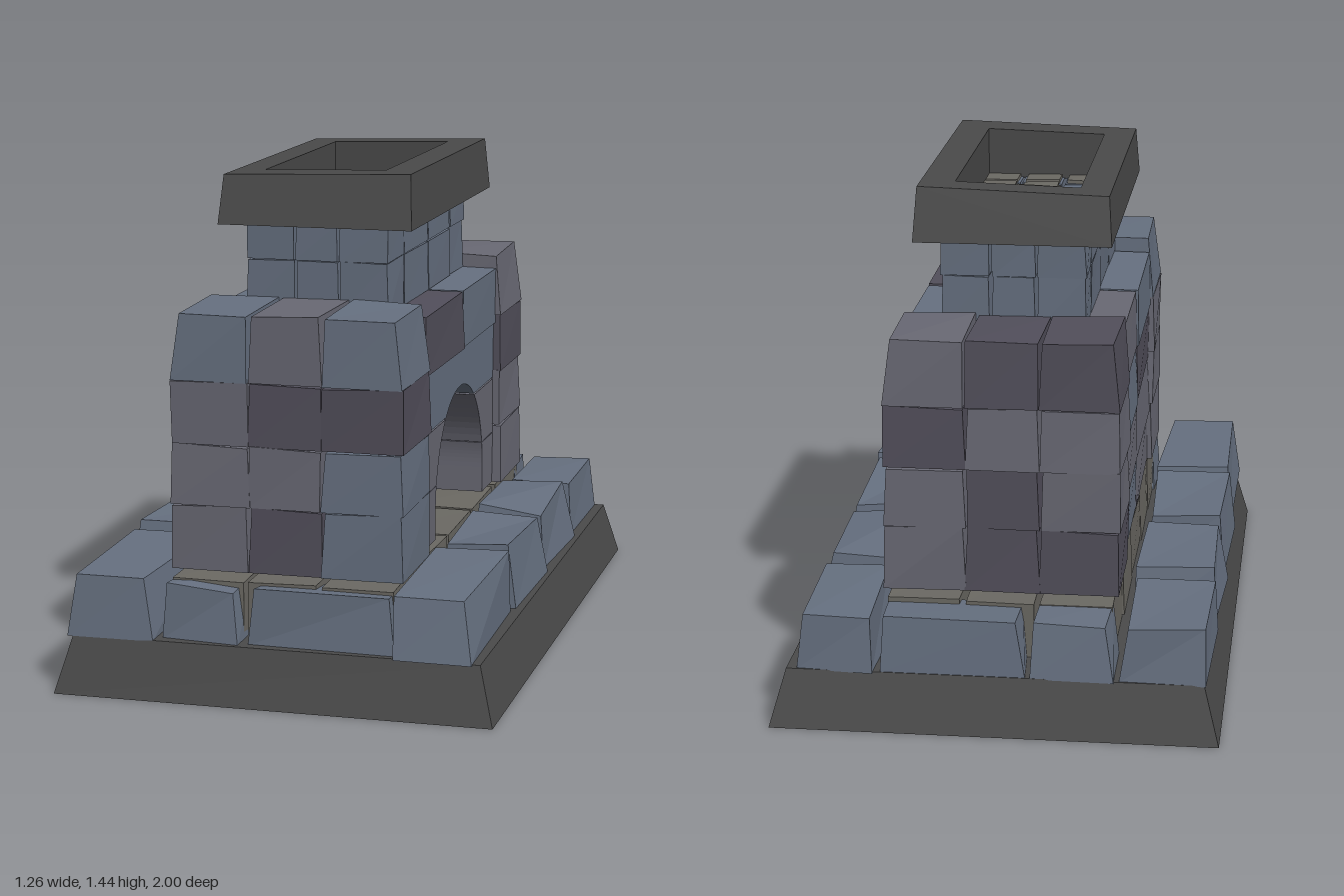
import * as THREE from 'three';

const mat = (color) => new THREE.MeshStandardMaterial({ color, flatShading: true, roughness: 0.9, side: THREE.DoubleSide });
const BLUE = mat(0x667080), PURPLE = mat(0x524f5b), GREY = mat(0x696974), WARM = mat(0x6b6963), DARK = mat(0x4a4a4a);

let seed = 7;
const rnd = () => ((seed = (seed * 16807) % 2147483647) / 2147483647);

// Rough-hewn block: a box with an inset top and slightly shifted corners
function stone(name, material, [x0, x1], [y0, y1], [z0, z1], inset = 0.004, wobble = 0.008) {
  const g = new THREE.BoxGeometry(1, 1, 1);
  const shift = Array.from({ length: 24 }, () => (rnd() - 0.5) * wobble);
  const p = g.attributes.position;
  for (let i = 0; i < p.count; i++) {
    const x = p.getX(i), y = p.getY(i), z = p.getZ(i);
    const k = 3 * ((x > 0 ? 1 : 0) + (y > 0 ? 2 : 0) + (z > 0 ? 4 : 0));
    const s = y > 0 ? inset : 0;
    p.setXYZ(i,
      (x > 0 ? x1 - s : x0 + s) + shift[k],
      (y > 0 ? y1 + shift[k + 1] : y0),
      (z > 0 ? z1 - s : z0 + s) + shift[k + 2]);
  }
  g.computeVertexNormals();
  const m = new THREE.Mesh(g, material);
  m.name = name;
  return m;
}

// Half-width of the fireplace arch at height y
const ARCH_R = 0.315, ARCH_TOP = 0.74, ARCH_Z = 0.01;
function archHalf(y) {
  const h = y - (ARCH_TOP - ARCH_R);
  return h <= 0 ? ARCH_R : Math.sqrt(Math.max(0, ARCH_R * ARCH_R - h * h));
}

// Wall stone whose inner end follows the arch
function archStone(material, zOuter, [y0, y1]) {
  const side = Math.sign(zOuter);
  const pts = [new THREE.Vector2(zOuter, y0), new THREE.Vector2(zOuter, y1)];
  if (y1 > ARCH_TOP) pts.push(new THREE.Vector2(ARCH_Z, y1));
  const top = Math.min(y1, ARCH_TOP);
  for (let i = 0; i <= 14; i++) {
    const t = i / 14, y = top + (y0 - top) * t * t;
    pts.push(new THREE.Vector2(ARCH_Z + side * archHalf(y), y));
  }
  const g = new THREE.ExtrudeGeometry(new THREE.Shape(pts), { depth: 0.15, bevelEnabled: false });
  g.rotateY(-Math.PI / 2).translate(0.31, 0, 0);
  const m = new THREE.Mesh(g, material);
  m.name = 'archStone';
  return m;
}

function group(name, parent) {
  const g = new THREE.Group();
  g.name = name;
  parent.add(g);
  return g;
}

export function createModel() {
  seed = 7;
  const model = new THREE.Group();
  model.name = 'stoneFireplace';

  // Sloped base slab
  model.add(stone('baseSlab', DARK, [-0.63, 0.63], [0, 0.163], [-1, 1], 0.045, 0));

  // Ring of large foundation stones
  const foundation = group('foundation', model);
  const rows = [[-0.96, -0.53], [-0.51, -0.08], [-0.06, 0.38], [0.41, 0.955]];
  for (const [i, z] of rows.entries()) {
    const y = [0.16, i === 0 ? 0.325 : 0.34];
    foundation.add(stone('foundationStone', BLUE, [-0.6, -0.35], y, z, 0.018, 0.025));
    foundation.add(stone('foundationStone', BLUE, [0.33, 0.56], y, z, 0.018, 0.025));
  }
  for (const z of [[0.72, 0.93], [-0.96, -0.74]]) {
    foundation.add(stone('foundationStone', BLUE, [-0.33, -0.1], [0.16, 0.31], z, 0.018, 0.025));
    foundation.add(stone('foundationStone', BLUE, [-0.08, 0.33], [0.16, 0.315], z, 0.018, 0.025));
  }

  // Hearth floor between the foundation stones
  const floor = group('hearthFloor', model);
  const floorRows = [[-0.8, -0.45], [-0.44, -0.13], [-0.12, 0.2], [0.21, 0.5], [0.51, 0.87]];
  for (const z of floorRows)
    for (const x of [[-0.32, -0.11], [-0.1, 0.1], [0.11, 0.32]])
      floor.add(stone('floorStone', WARM, x, [0.16, 0.325], z));

  // Front and back pillars: four courses of three stones
  const B = BLUE, P = PURPLE, G = GREY;
  const columns = [[-0.335, -0.107], [-0.105, 0.103], [0.105, 0.335]];
  const courses = [[0.34, 0.525], [0.527, 0.698], [0.7, 0.878], [0.88, 1.07]];
  const pillars = [
    ['frontPillar', [0.5, 0.825], [[G, P, B], [G, G, B], [G, P, P], [B, G, B]]],
    ['backPillar', [-0.76, -0.45], [[P, P, G], [G, P, G], [G, G, P], [P, P, G]]],
  ];
  for (const [name, z, colors] of pillars) {
    const pillar = group(name, model);
    courses.forEach((y, r) => columns.forEach((x, c) => {
      const s = stone('pillarStone', colors[r][c], x, y, z, 0.004, 0.01);
      // Outer edges of the top course lean inward
      if (r === 3 && c !== 1) {
        const p = s.geometry.attributes.position, d = c === 0 ? 0.018 : -0.018;
        for (let i = 0; i < p.count; i++)
          if (p.getY(i) > 1 && Math.abs(p.getX(i)) > 0.2) p.setX(i, p.getX(i) + d);
      }
      pillar.add(s);
    }));
  }

  // Side walls: arched opening on the left, solid on the right
  const wallRows = [[0.34, 0.5], [0.502, 0.675], [0.68, 0.85], [0.855, 1.03]];
  const leftWall = group('archedWall', model), rightWall = group('solidWall', model);
  const archColors = [[G, G], [G, G], [B, B]];
  const solidColors = [[G, B], [G, G], [P, B], [B, G]];
  wallRows.forEach((y, r) => {
    if (r < 3) {
      leftWall.add(archStone(archColors[r][0], 0.495, y), archStone(archColors[r][1], -0.455, y));
    } else {
      leftWall.add(stone('wallStone', P, [0.05, 0.32], y, [0.015, 0.495]));
      leftWall.add(stone('wallStone', B, [0.05, 0.32], y, [-0.455, 0.01]));
    }
    const x = [-0.32, r < 3 ? -0.18 : -0.05];
    rightWall.add(stone('wallStone', solidColors[r][0], x, y, [0.015, 0.495]));
    rightWall.add(stone('wallStone', solidColors[r][1], x, y, [-0.455, 0.01]));
  });

  // Chimney: two courses, with loose stones filling the middle
  const chimney = group('chimney', model);
  const sideRows = [[-0.455, -0.273], [-0.268, 0.015], [0.02, 0.305], [0.31, 0.505]];
  const midRows = [[-0.455, -0.273], [-0.23, 0.18], [0.225, 0.305], [0.31, 0.505]];
  const chimneyCols = [[-0.205, -0.065], [-0.06, 0.065], [0.07, 0.21]];
  for (const [level, y] of [[1.03, 1.178], [1.18, 1.282]].entries())
    chimneyCols.forEach((x, c) => (c === 1 ? midRows : sideRows).forEach((z, r) => {
      const inner = c === 1 && r === 1;
      const blue = (c === 0 && r === 2) || (c === 2 && r === 1);
      const high = level && inner ? 0.025 : 0;
      chimney.add(stone('chimneyStone', inner || (level && c === 1 && r === 2) ? WARM : BLUE, x, [y[0], y[1] + high], z, 0.002, 0.006));
      // Grey upper faces inside the cap opening
      if (level && !inner && !blue)
        chimney.add(stone('fillStone', WARM, [x[0] + 0.008, x[1] - 0.008], [1.25, 1.292], [z[0] + 0.008, z[1] - 0.008], 0.002, 0.004));
    }));

  // Chimney cap: tapered slab with a rectangular hole, a little higher on one side
  const rect = (C, x0, x1, z0, z1) => new C([[x0, z0], [x1, z0], [x1, z1], [x0, z1]].map(([x, z]) => new THREE.Vector2(x, -z)));
  const outline = rect(THREE.Shape, -0.28, 0.288, -0.483, 0.543);
  outline.holes.push(rect(THREE.Path, -0.18, 0.18, -0.36, 0.4));
  const capGeo = new THREE.ExtrudeGeometry(outline, { depth: 0.148, bevelEnabled: false });
  capGeo.rotateX(-Math.PI / 2).translate(0, 1.28, 0);
  const p = capGeo.attributes.position;
  for (let i = 0; i < p.count; i++) {
    const x = p.getX(i), y = p.getY(i), z = p.getZ(i);
    if (y < 1.4) continue;
    p.setY(i, y + x * 0.028);
    if (Math.abs(x) > 0.2) p.setXYZ(i, x - Math.sign(x) * 0.01, p.getY(i), z - Math.sign(z) * 0.03);
  }
  capGeo.computeVertexNormals();
  const cap = new THREE.Mesh(capGeo, DARK);
  cap.name = 'chimneyCap';
  model.add(cap);

  return model;
}
